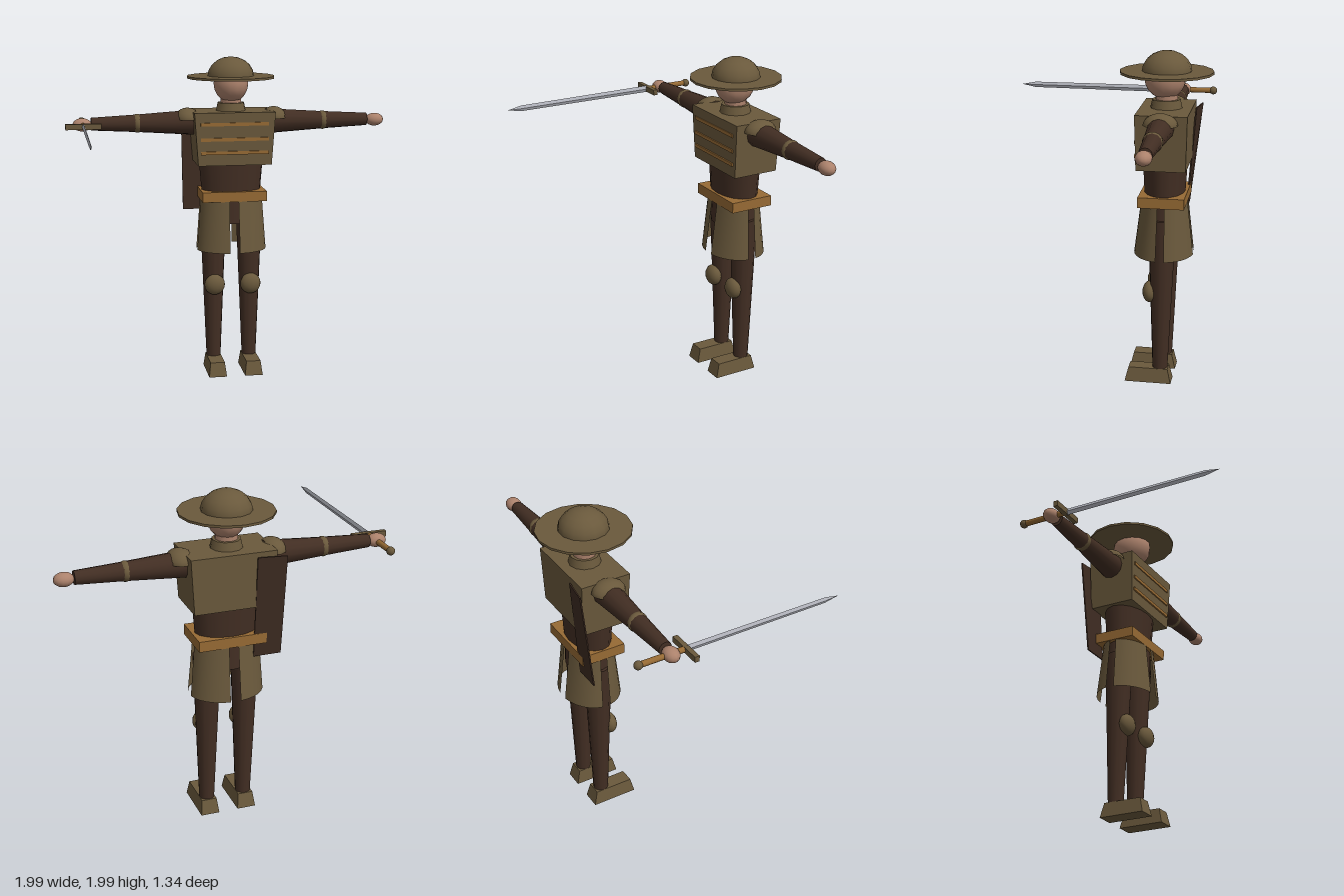
import * as THREE from 'three';

const mat = (name, color, side = THREE.FrontSide) => {
  const m = new THREE.MeshStandardMaterial({ color, side });
  m.name = name;
  return m;
};

// Box whose top face differs in size from its bottom face
function taperBox(wTop, wBottom, h, dTop, dBottom) {
  const g = new THREE.BoxGeometry(1, h, 1);
  const p = g.attributes.position;
  for (let i = 0; i < p.count; i++) {
    const top = p.getY(i) > 0;
    p.setX(i, p.getX(i) * (top ? wTop : wBottom));
    p.setZ(i, p.getZ(i) * (top ? dTop : dBottom));
  }
  g.computeVertexNormals();
  return g;
}

const ellipsoid = (rx, ry, rz) => new THREE.SphereGeometry(1, 14, 10).scale(rx, ry, rz);
const dome = (rx, ry, rz) =>
  new THREE.SphereGeometry(1, 14, 5, 0, Math.PI * 2, 0, Math.PI / 2).scale(rx, ry, rz);

export function createModel() {
  const olive = mat('olive armour', 0x6a593c, THREE.DoubleSide);
  const brown = mat('dark brown cloth', 0x422e23);
  const cloak = mat('dark cloak', 0x3d2b21, THREE.DoubleSide);
  const gold = mat('tan leather', 0x966a34);
  const skin = mat('skin', 0xac826c);
  const steel = mat('steel', 0xb2b4bc);

  const model = new THREE.Group();
  model.name = 'soldier';
  const body = new THREE.Group();
  body.name = 'body';
  body.position.set(0.02, 0, -0.4);
  model.add(body);

  const add = (name, geometry, material, x, y, z, parent = body) => {
    const mesh = new THREE.Mesh(geometry, material);
    mesh.name = name;
    mesh.position.set(x, y, z);
    parent.add(mesh);
    return mesh;
  };

  // Head, neck and wide-brimmed helmet
  add('head', ellipsoid(0.108, 0.116, 0.12), skin, 0, 1.822, 0.008);
  add('neck', new THREE.CylinderGeometry(0.065, 0.065, 0.12, 12), skin, 0, 1.69, 0);
  add('collar', new THREE.CylinderGeometry(0.082, 0.095, 0.06, 12), olive, 0, 1.675, 0);
  add('helmetBrim', new THREE.CylinderGeometry(0.272, 0.272, 0.014, 16), olive, 0, 1.861, 0);
  add('helmetDome', dome(0.145, 0.12, 0.145), olive, 0, 1.865, 0);

  // Trunk
  add('breastplate', taperBox(0.5, 0.455, 0.325, 0.3, 0.285), olive, 0.005, 1.493, 0);
  for (const y of [1.585, 1.492, 1.41]) {
    add('chestStrip', new THREE.BoxGeometry(0.42, 0.02, 0.012), gold, 0.002, y, 0.148);
  }
  add('torso', new THREE.CylinderGeometry(0.205, 0.183, 0.26, 16).scale(1, 1, 0.65),
    brown, 0, 1.26, 0);
  add('belt', new THREE.BoxGeometry(0.4, 0.062, 0.27), gold, 0.004, 1.133, 0);
  add('hips', new THREE.CylinderGeometry(0.175, 0.18, 0.14, 16).scale(1, 1, 0.68),
    brown, 0, 1.03, 0);

  // Skirt in four curved plates with narrow slits between them
  const slit = 0.14;
  for (let i = 0; i < 4; i++) {
    const plate = new THREE.CylinderGeometry(1, 1, 0.32, 6, 1, true,
      i * Math.PI / 2 + slit, Math.PI / 2 - 2 * slit);
    const p = plate.attributes.position;
    for (let k = 0; k < p.count; k++) {
      const top = p.getY(k) > 0;
      p.setX(k, p.getX(k) * (top ? 0.196 : 0.22));
      p.setZ(k, p.getZ(k) * (top ? 0.138 : 0.177));
    }
    plate.computeVertexNormals();
    add('skirtPlate', plate, olive, 0, 0.943, 0);
  }

  // Short cloak hanging aslant behind the right shoulder
  const cape = new THREE.BoxGeometry(0.165, 0.61, 0.008);
  const cp = cape.attributes.position;
  for (let i = 0; i < cp.count; i++) {
    const up = cp.getY(i) > 0;
    const inner = cp.getX(i) > 0;
    cp.setZ(i, cp.getZ(i) + (up ? (inner ? -0.16 : -0.183) : -0.115));
  }
  cape.computeVertexNormals();
  add('cloak', cape, cloak, -0.207, 1.325, 0);

  for (const s of [-1, 1]) {
    // Legs, knee guards and boots
    add('leg', new THREE.CylinderGeometry(0.083, 0.045, 0.94, 12), brown, s * 0.114, 0.55, 0);
    add('kneeGuard', ellipsoid(0.065, 0.065, 0.045), olive, s * 0.114, 0.565, 0.066);
    add('boot', taperBox(0.09, 0.112, 0.088, 0.235, 0.278), olive, s * 0.114, 0.044, 0.068);

    // Arms stretched sideways
    const arm = new THREE.Group();
    arm.name = s > 0 ? 'leftArm' : 'rightArm';
    arm.position.set(0, 1.585, 0);
    body.add(arm);
    const limb = (name, r0, r1, x0, x1) => {
      const g = new THREE.CylinderGeometry(r1, r0, x1 - x0, 12).rotateZ(-s * Math.PI / 2);
      add(name, g, brown, s * (x0 + x1) / 2, 0, 0, arm);
    };
    limb('upperArm', 0.078, 0.054, 0.22, 0.58);
    limb('forearm', 0.054, 0.039, 0.58, 0.862);
    add('elbowGuard', ellipsoid(0.04, 0.058, 0.058), olive, s * 0.58, 0, 0, arm);
    add('shoulderGuard', dome(0.08, 0.068, 0.1), olive, s * 0.27, 0.022, 0, arm);
    add('hand', ellipsoid(0.058, 0.04, 0.046), skin, s * 0.916, -0.003, 0, arm);
  }

  // Sword pointing forward from the right hand
  const sword = new THREE.Group();
  sword.name = 'sword';
  sword.position.set(-0.892, 1.581, 0);
  model.add(sword);
  const along = (r0, r1, len, sides) =>
    new THREE.CylinderGeometry(r1, r0, len, sides).rotateX(Math.PI / 2);
  const flat = (g) => {
    const n = g.toNonIndexed();
    n.computeVertexNormals();
    return n;
  };
  add('blade', flat(along(0.021, 0.018, 0.88, 4).scale(0.42, 1, 1)), steel, 0, 0, 0.14, sword);
  add('bladeTip', flat(along(0.018, 0, 0.09, 4).scale(0.42, 1, 1)), steel, 0, 0, 0.625, sword);
  add('guard', new THREE.BoxGeometry(0.216, 0.034, 0.028), olive, 0, 0, -0.307, sword);
  add('grip', along(0.017, 0.017, 0.26, 10), gold, 0, 0, -0.45, sword);
  add('pommel', ellipsoid(0.025, 0.025, 0.025), olive, 0, 0, -0.59, sword);

  return model;
}
